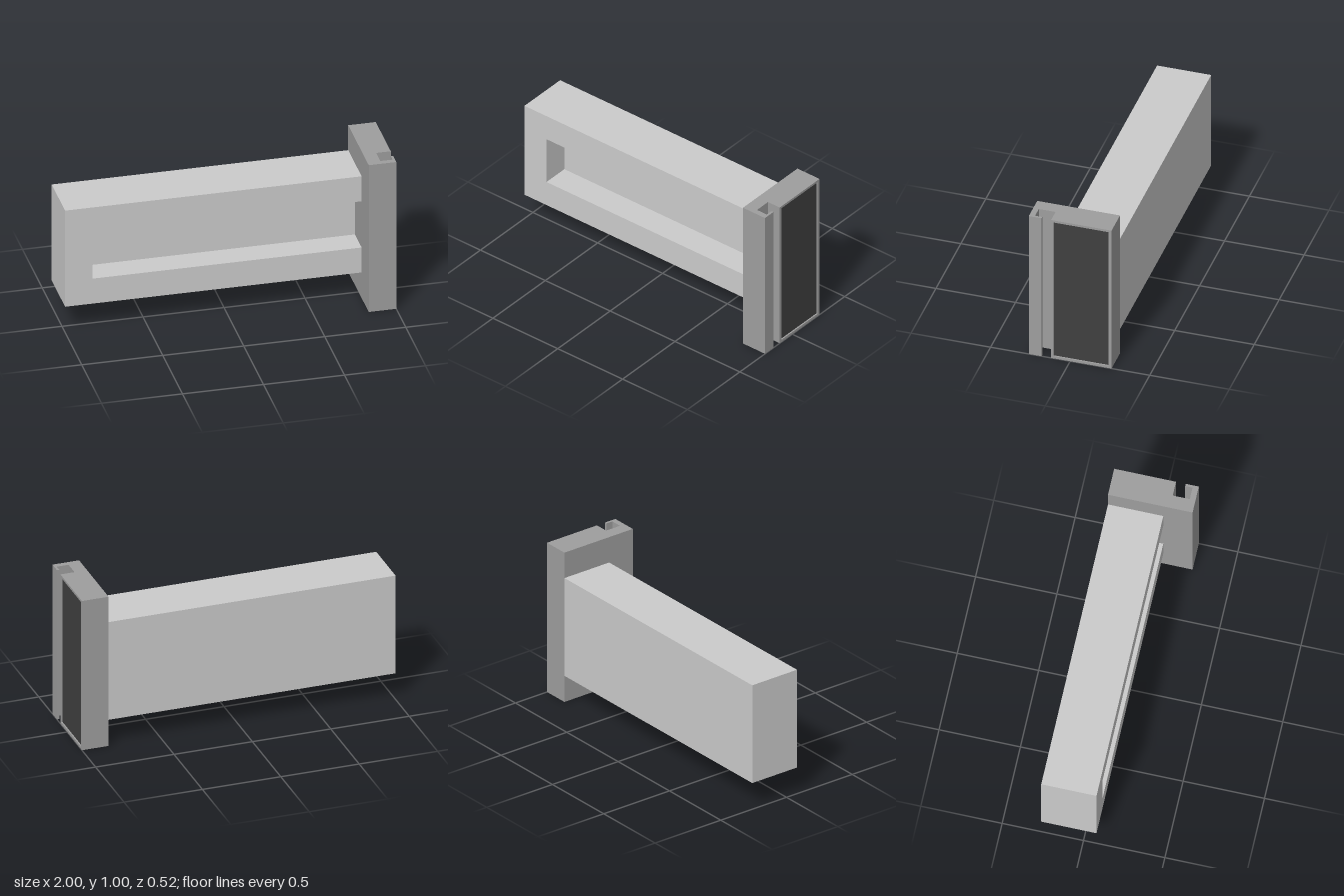
import * as THREE from 'three';

const material = (color) => new THREE.MeshStandardMaterial({ color, flatShading: true });

// Closed outline from a few corner points
const outline = (points) => new THREE.Shape(points.map(([x, y]) => new THREE.Vector2(x, y)));

const extrude = (shape, depth) =>
  new THREE.ExtrudeGeometry(shape, { depth, bevelEnabled: false });

export function createModel() {
  const model = new THREE.Group();
  const armGrey = material(0xcccccc);
  const plateGrey = material(0x9e9e9e);
  const dark = material(0x404040);

  const add = (parent, name, geometry, mat) => {
    const mesh = new THREE.Mesh(geometry, mat);
    mesh.name = name;
    parent.add(mesh);
    return mesh;
  };

  // Arm: solid back half, and a front half with a long pocket that ends at the plate
  const arm = new THREE.Group();
  arm.name = 'arm';
  const back = extrude(outline([[-1, 0.175], [0.83, 0.175], [0.83, 0.83], [-1, 0.83]]), 0.17);
  add(arm, 'armBack', back, armGrey).position.z = -0.26;
  const rim = extrude(outline([
    [-1, 0.175], [0.83, 0.175], [0.83, 0.345], [-0.83, 0.345],
    [-0.83, 0.66], [0.83, 0.66], [0.83, 0.83], [-1, 0.83],
  ]), 0.17);
  add(arm, 'armPocketRim', rim, armGrey).position.z = -0.09;
  model.add(arm);

  // End plate: plan outline with a hooked groove, extruded upwards
  const face = 0.988;
  const plate = new THREE.Group();
  plate.name = 'endPlate';
  const plan = [
    [0.83, 0.26], [1, 0.26], [1, 0.18], [0.985, 0.18], [0.985, 0.225],
    [0.91, 0.225], [0.91, 0.12], [face, 0.12], [face, -0.26], [0.83, -0.26],
  ].map(([x, z]) => [x, -z]);
  add(plate, 'plateBody', extrude(outline(plan), 1).rotateX(-Math.PI / 2), plateGrey);

  // Thin raised border around the inset pad
  const border = outline([[-0.12, 0], [0.26, 0], [0.26, 1], [-0.12, 1]]);
  border.holes.push(outline([[-0.105, 0.016], [-0.105, 0.985], [0.242, 0.985], [0.242, 0.016]]));
  add(plate, 'padBorder', extrude(border, 1 - face).rotateY(Math.PI / 2), plateGrey)
    .position.x = face;
  model.add(plate);

  // Dark pad set just below the border
  add(model, 'pad', new THREE.BoxGeometry(0.006, 0.969, 0.347), dark)
    .position.set(face, 0.5005, -0.0685);

  return model;
}
